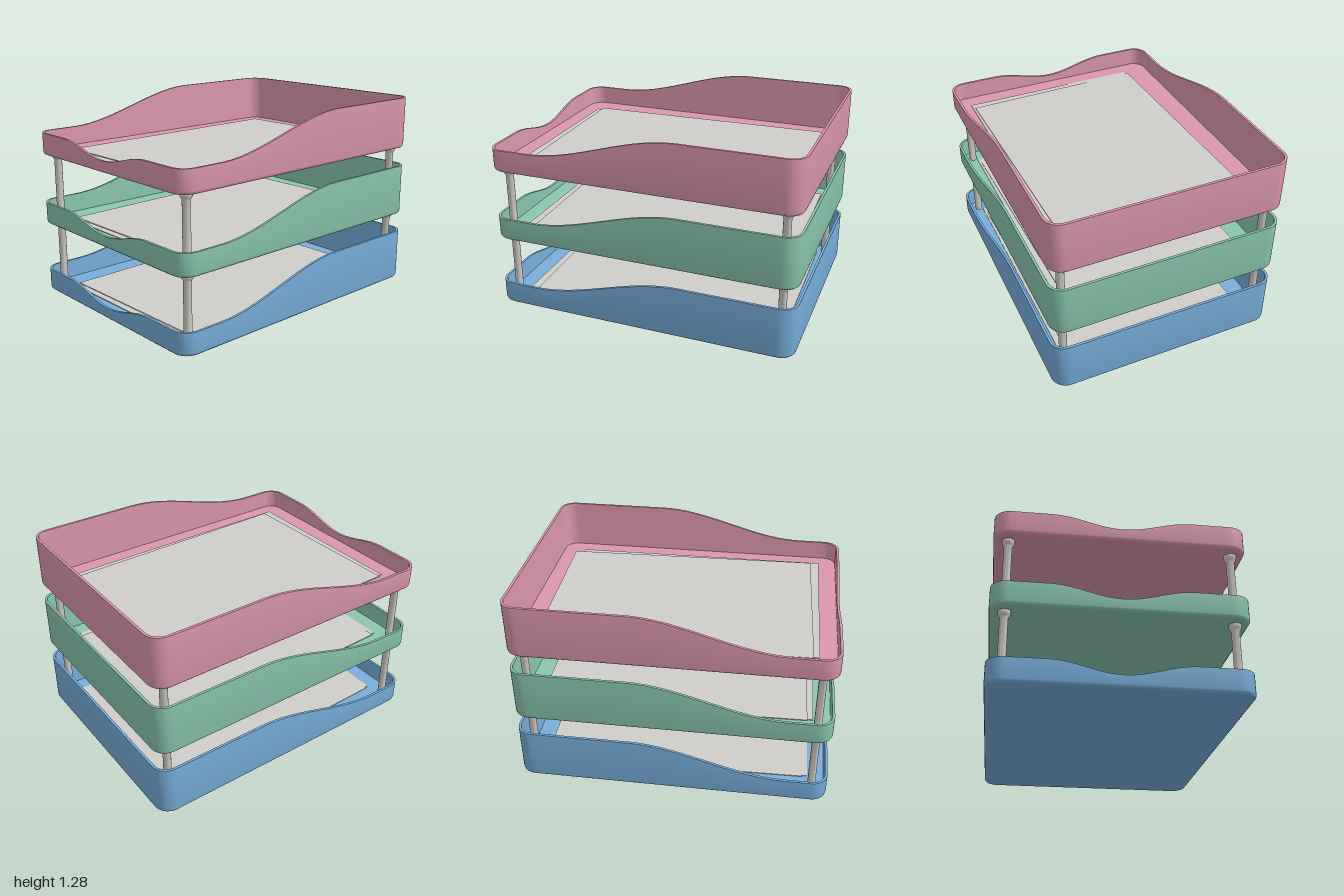
import * as THREE from 'three';
import { toCreasedNormals } from 'three/addons/utils/BufferGeometryUtils.js';

const W = 0.755, D = 1, R = 0.1;        // half width, half depth, corner radius
const WALL = 0.016, FLOOR = 0.025, PITCH = 0.468;
const LOW = 0.147, HIGH = 0.343;

const mat = (name, color) => {
  const m = new THREE.MeshStandardMaterial({ color });
  m.name = name;
  return m;
};

// Rim height: low front with a finger dip, sides sweeping up to a tall back
function rimHeight(x, z) {
  if (z > D - 0.001 && Math.abs(x) < 0.42) {
    return LOW - 0.036 * (1 + Math.cos(Math.PI * x / 0.42));
  }
  return LOW + (HIGH - LOW) * THREE.MathUtils.smoothstep(-z, -0.72, 0.26);
}

// Rounded-rectangle outline: points with outward normals
function outline() {
  const pts = [];
  const corners = [[1, 1], [-1, 1], [-1, -1], [1, -1]];
  const edgeSteps = [44, 36, 4, 36];    // front, left of frame, back, right of frame
  const place = (k, a) => {
    const [sx, sz] = corners[k];
    const nx = Math.cos(a), nz = Math.sin(a);
    return { x: sx * (W - R) + nx * R, z: sz * (D - R) + nz * R, nx, nz };
  };
  for (let k = 0; k < 4; k++) {
    const a0 = k * Math.PI / 2, a1 = a0 + Math.PI / 2;
    for (let i = 0; i < 8; i++) pts.push(place(k, a0 + (a1 - a0) * i / 8));
    const p = place(k, a1), q = place((k + 1) % 4, a1);
    for (let i = 0; i < edgeSteps[k]; i++) {
      const t = i / edgeSteps[k];
      pts.push({ ...p, x: p.x + (q.x - p.x) * t, z: p.z + (q.z - p.z) * t });
    }
  }
  return pts;
}

// Tray shell: one closed cross-section swept round the outline
function trayGeometry() {
  const pts = outline(), pos = [], index = [], f = 0.022;
  const rings = 9;
  for (const p of pts) {
    const h = rimHeight(p.x, p.z);
    const section = [
      null,                                                  // underside centre
      [f, 0], [f * 0.5, f * 0.134], [f * 0.134, f * 0.5], [0, f],
      [0, h], [WALL, h], [WALL, FLOOR],
      null,                                                  // floor centre
    ];
    section.forEach((s, j) => {
      if (s) pos.push(p.x - p.nx * s[0], s[1], p.z - p.nz * s[0]);
      else pos.push(0, j ? FLOOR : 0, 0);
    });
  }
  for (let i = 0; i < pts.length; i++) {
    const a = i * rings, b = ((i + 1) % pts.length) * rings;
    for (let j = 0; j < rings - 1; j++) {
      if (j < rings - 2) index.push(a + j, a + j + 1, b + j + 1);
      if (j > 0) index.push(a + j, b + j + 1, b + j);
    }
  }
  // fix the floor fan, whose far end is a single point
  const geo = new THREE.BufferGeometry();
  geo.setAttribute('position', new THREE.Float32BufferAttribute(pos, 3));
  geo.setIndex(index);
  return toCreasedNormals(geo, 0.7);
}

// Post with a flared collar under the tray above
function postGeometry() {
  const profile = [
    [0, FLOOR], [0.025, FLOOR], [0.025, 0.425], [0.029, 0.434],
    [0.036, 0.446], [0.038, 0.452], [0.038, PITCH], [0, PITCH],
  ].map(([r, y]) => new THREE.Vector2(r, y));
  return toCreasedNormals(new THREE.LatheGeometry(profile, 24), 0.8);
}

export function createModel() {
  const model = new THREE.Group();
  model.name = 'letterTrayStack';

  const trayMats = [
    mat('blue plastic', 0x78aedb),
    mat('green plastic', 0x8ac6ae),
    mat('pink plastic', 0xdb97af),
  ];
  const paper = mat('paper', 0xcfcec9);
  const metal = mat('post grey', 0xd2cfc9);

  const trayGeo = trayGeometry(), postGeo = postGeometry();
  const sheetGeo = new THREE.BoxGeometry(1.2, 0.005, 1.7);
  const sheets = [[0.037, 0.023, 0.006], [0.006, -0.023, 0.025]];   // x, z, turn

  trayMats.forEach((material, level) => {
    const tier = new THREE.Group();
    tier.name = 'tier' + (level + 1);
    tier.position.y = level * PITCH;
    model.add(tier);

    const tray = new THREE.Mesh(trayGeo, material);
    tray.name = 'tray';
    tier.add(tray);

    // loose sheets lying on the floor
    sheets.forEach(([x, z, turn], i) => {
      const sheet = new THREE.Mesh(sheetGeo, paper);
      sheet.name = 'paperSheet';
      sheet.position.set(x, FLOOR + 0.0035 + i * 0.006, z);
      sheet.rotation.y = turn;
      tier.add(sheet);
    });

    // posts carrying the next tray
    if (level < 2) {
      for (const sx of [-1, 1]) for (const sz of [-1, 1]) {
        const post = new THREE.Mesh(postGeo, metal);
        post.name = 'post';
        post.position.set(sx * 0.667, 0, sz * 0.902);
        tier.add(post);
      }
    }
  });
  return model;
}
